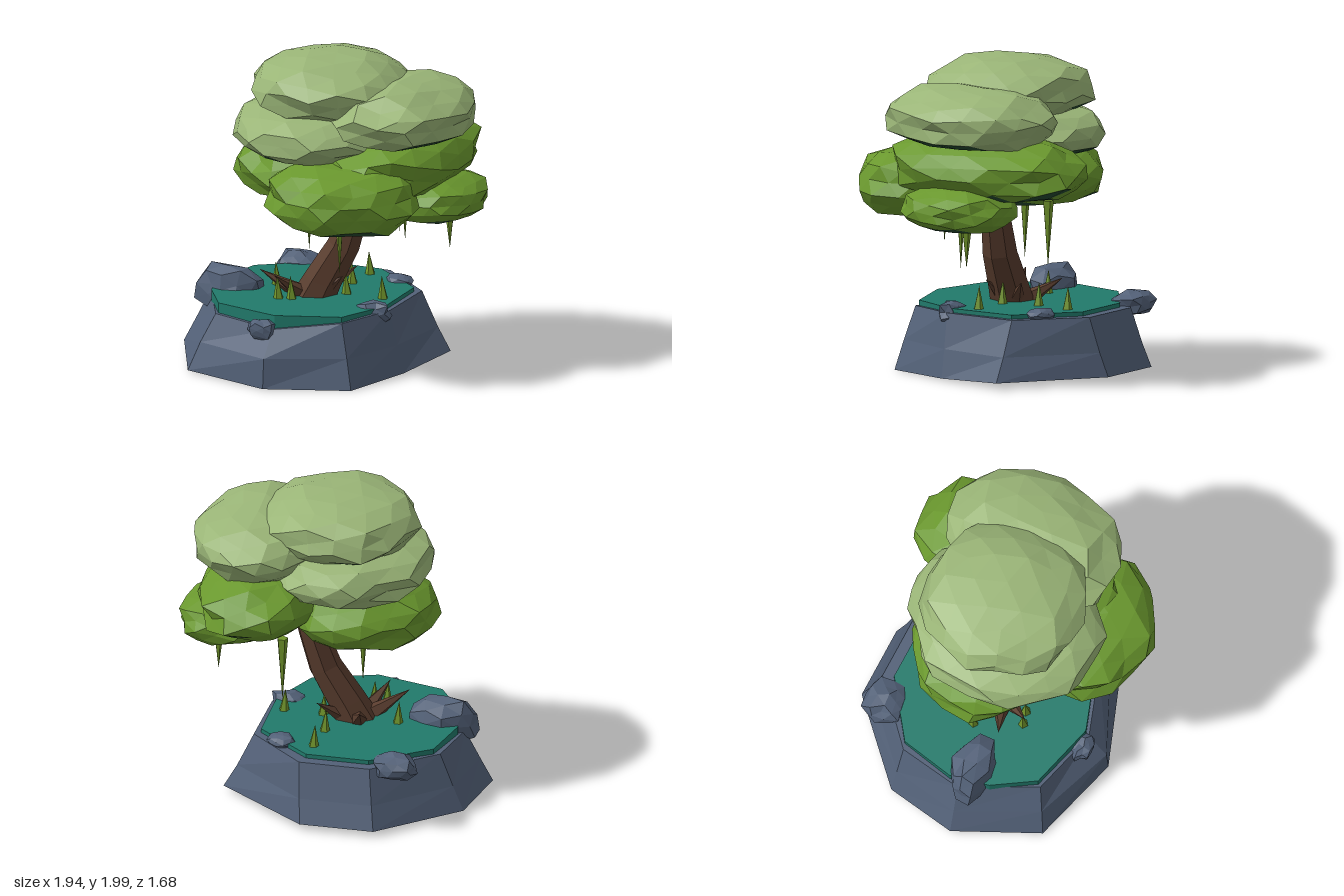
import * as THREE from 'three';

const flat = (name, color) => {
  const m = new THREE.MeshStandardMaterial({ color, flatShading: true });
  m.name = name;
  return m;
};

export function createModel() {
  const rock = flat('slate rock', 0x536178);
  const grass = flat('teal ground', 0x217a6b);
  const bark = flat('bark brown', 0x5a3d2e);
  const leaf = flat('leaf green', 0x6a982e);
  const paleLeaf = flat('pale leaf green', 0x9ab577);
  const shade = flat('dark leaf underside', 0x264a30);
  const blade = flat('blade green', 0x72962c);

  const model = new THREE.Group();
  model.name = 'tree on rock';
  const add = (name, geo, mat, parent = model) => {
    const mesh = new THREE.Mesh(geo, mat);
    mesh.name = name;
    parent.add(mesh);
    return mesh;
  };
  const group = (name) => {
    const g = new THREE.Group();
    g.name = name;
    model.add(g);
    return g;
  };

  // Skin stacked rings (counter-clockwise from above) and cap both ends
  const loft = (rings) => {
    const pos = [];
    const n = rings[0].length;
    const tri = (...pts) => pts.forEach((p) => pos.push(...p));
    const mid = (r) => [0, 1, 2].map((k) => r.reduce((s, p) => s + p[k], 0) / n);
    const low = rings[0], top = rings[rings.length - 1];
    const cLow = mid(low), cTop = mid(top);
    for (let i = 0; i < n; i++) {
      const j = (i + 1) % n;
      for (let k = 0; k + 1 < rings.length; k++) {
        const a = rings[k], b = rings[k + 1];
        tri(a[i], a[j], b[j]);
        tri(a[i], b[j], b[i]);
      }
      tri(cLow, low[j], low[i]);
      tri(cTop, top[i], top[j]);
    }
    const g = new THREE.BufferGeometry();
    g.setAttribute('position', new THREE.Float32BufferAttribute(pos, 3));
    g.computeVertexNormals();
    return g;
  };

  // Faceted lump fitted to a box; faces that look down go in a second group
  const lump = (min, max, seed, detail, rough) => {
    const src = new THREE.IcosahedronGeometry(1, detail);
    src.rotateY(seed * 1.3);
    src.rotateX(seed * 0.7);
    const p = src.attributes.position;
    const v = new THREE.Vector3();
    for (let i = 0; i < p.count; i++) {
      v.fromBufferAttribute(p, i);
      const { x, y, z } = v;
      const round = (Math.hypot(x, z) ** 2.3 + Math.abs(y) ** 2.3) ** (-1 / 2.3);
      const bump = 1 + rough * (0.6 * Math.sin(5.1 * x + seed * 2) * Math.sin(4.3 * z + seed)
        + 0.7 * Math.sin(9 * y + 7 * x - seed) + 0.5 * Math.sin(11 * z + 8 * x + seed * 3));
      v.multiplyScalar(round * bump);
      if (v.y < -0.7) v.y = -0.7 + (v.y + 0.7) * 0.3;
      p.setXYZ(i, v.x, v.y, v.z);
    }
    src.computeBoundingBox();
    const box = src.boundingBox;
    const size = box.getSize(new THREE.Vector3());
    const sides = [[], []];
    const t = new THREE.Triangle();
    const nrm = new THREE.Vector3();
    const fit = (q, i) => {
      q.fromBufferAttribute(p, i).sub(box.min).divide(size);
      q.set(...['x', 'y', 'z'].map((a, k) => min[k] + q[a] * (max[k] - min[k])));
    };
    for (let i = 0; i < p.count; i += 3) {
      [t.a, t.b, t.c].forEach((q, k) => fit(q, i + k));
      t.getNormal(nrm);
      const list = sides[nrm.y < -0.87 ? 1 : 0];
      [t.a, t.b, t.c].forEach((q) => list.push(q.x, q.y, q.z));
    }
    const g = new THREE.BufferGeometry();
    g.setAttribute('position', new THREE.Float32BufferAttribute([...sides[0], ...sides[1]], 3));
    g.addGroup(0, sides[0].length / 3, 0);
    g.addGroup(sides[0].length / 3, sides[1].length / 3, 1);
    g.computeVertexNormals();
    return g;
  };

  // Thin cone from a base point to a tip
  const spike = (name, base, tip, r, mat, parent) => {
    const a = new THREE.Vector3(...base), b = new THREE.Vector3(...tip);
    const dir = b.clone().sub(a);
    const m = add(name, new THREE.ConeGeometry(r, dir.length(), 5), mat, parent);
    m.position.copy(a).add(b).multiplyScalar(0.5);
    m.quaternion.setFromUnitVectors(new THREE.Vector3(0, 1, 0), dir.normalize());
  };

  // Rock base: tapering nine-sided block
  const foot = [[-0.14, 0.01, 0.74], [0.38, 0.01, 0.56], [0.54, 0.02, 0.1], [0.65, 0.05, -0.38],
    [0.07, 0.05, -0.83], [-0.4, 0.05, -0.84], [-0.88, 0.04, -0.4], [-0.97, 0.05, 0.05], [-0.72, 0.02, 0.57]];
  const rim = [[-0.13, 0.36, 0.6], [0.28, 0.41, 0.47], [0.45, 0.42, 0.12], [0.46, 0.42, -0.37],
    [0.1, 0.42, -0.71], [-0.35, 0.42, -0.72], [-0.73, 0.41, -0.39], [-0.8, 0.39, 0.02], [-0.57, 0.38, 0.48]];
  const waist = foot.map((f, i) => {
    const t = i === 0 ? 0.1 : 0.45;
    return [f[0] + (rim[i][0] - f[0]) * t, 0.2, f[2] + (rim[i][2] - f[2]) * t];
  });
  add('rockBase', loft([foot, waist, rim]), rock);

  // Ground slab inset in the rim
  const lawn = [[-0.13, 0.58], [0.27, 0.45], [0.42, 0.12], [0.42, -0.34], [0.07, -0.64],
    [-0.33, -0.65], [-0.69, -0.4], [-0.77, -0.05], [-0.72, 0.2], [-0.56, 0.46]];
  add('groundSlab', loft([0.34, 0.445].map((y) => lawn.map(([x, z]) => [x, y, z]))), grass);

  // Boulders around the rim
  const boulders = group('boulders');
  [[[-0.64, 0.35, -0.76], [-0.36, 0.51, -0.5]], [[-0.87, 0.3, -0.09], [-0.45, 0.58, 0.2]],
    [[-0.31, 0.29, 0.52], [-0.12, 0.42, 0.66]], [[0.22, 0.34, 0.07], [0.47, 0.48, 0.24]],
    [[0.17, 0.4, -0.54], [0.36, 0.48, -0.38]],
  ].forEach(([min, max], i) => add('boulder', lump(min, max, i + 1, 1, 0.14), [rock, rock], boulders));

  // Leaning trunk: centre x, y, z and radius
  const trunk = [[-0.12, 0.4, 0, 0.15], [-0.05, 0.54, -0.01, 0.135], [0.08, 0.77, -0.03, 0.115],
    [0.16, 1.02, -0.05, 0.097], [0.23, 1.3, -0.06, 0.085]];
  add('trunk', loft(trunk.map(([x, y, z, r]) => Array.from({ length: 7 }, (_, i) => {
    const a = (i / 7) * Math.PI * 2;
    return [x + 0.85 * r * Math.cos(a), y - 0.3 * r * Math.cos(a), z - r * Math.sin(a)];
  }))), bark);

  // Pointed roots curling up
  const roots = group('roots');
  [[-0.43, 0.12], [-0.28, 0.23], [-0.2, -0.31], [0.1, -0.2], [0.11, 0.06]].forEach(([x, z]) =>
    spike('root', [-0.12 + (x + 0.12) * 0.2, 0.43, z * 0.2], [x, 0.59, z], 0.065, bark, roots));

  // Grass blades
  const blades = group('grassBlades');
  [[-0.39, -0.07], [-0.26, 0.21], [-0.18, 0.19], [0.05, -0.51], [0.03, -0.28], [0.09, -0.05], [0.34, -0.04]]
    .forEach(([x, z]) => spike('grassBlade', [x, 0.42, z], [x - 0.01, 0.59, z], 0.038, blade, blades));

  // Canopy: lower green and upper pale clumps
  const canopy = group('canopy');
  const clumps = (name, mat, boxes, seed) => boxes.forEach(([min, max], i) =>
    add(name, lump(min, max, seed + i * 1.7, 2, 0.06), [mat, shade], canopy));
  clumps('lowerFoliage', leaf, [
    [[-0.65, 1.07, -0.57], [0.32, 1.45, 0.37]],
    [[-0.24, 1.02, -0.05], [0.76, 1.43, 0.84]],
    [[0, 1.18, -0.84], [0.84, 1.58, 0.57]],
    [[0.36, 1.0, -0.48], [0.97, 1.29, 0.23]],
  ], 2);
  clumps('upperFoliage', paleLeaf, [
    [[-0.54, 1.63, -0.54], [0.48, 2.0, 0.48]],
    [[0.03, 1.5, -0.64], [0.9, 1.88, 0.5]],
    [[-0.59, 1.38, -0.64], [0.5, 1.72, 0.6]],
  ], 5);

  // Hanging vines: x, z, tip height, radius
  const vines = group('vines');
  [[-0.165, -0.05, 0.7, 0.038], [0.155, 0.215, 0.65, 0.04], [0.25, -0.5, 0.74, 0.036],
    [0.54, 0.08, 0.88, 0.024], [0.72, -0.205, 0.77, 0.05]].forEach(([x, z, y, r]) =>
    spike('vine', [x, 1.16, z], [x, y, z], r, blade, vines));

  return model;
}
